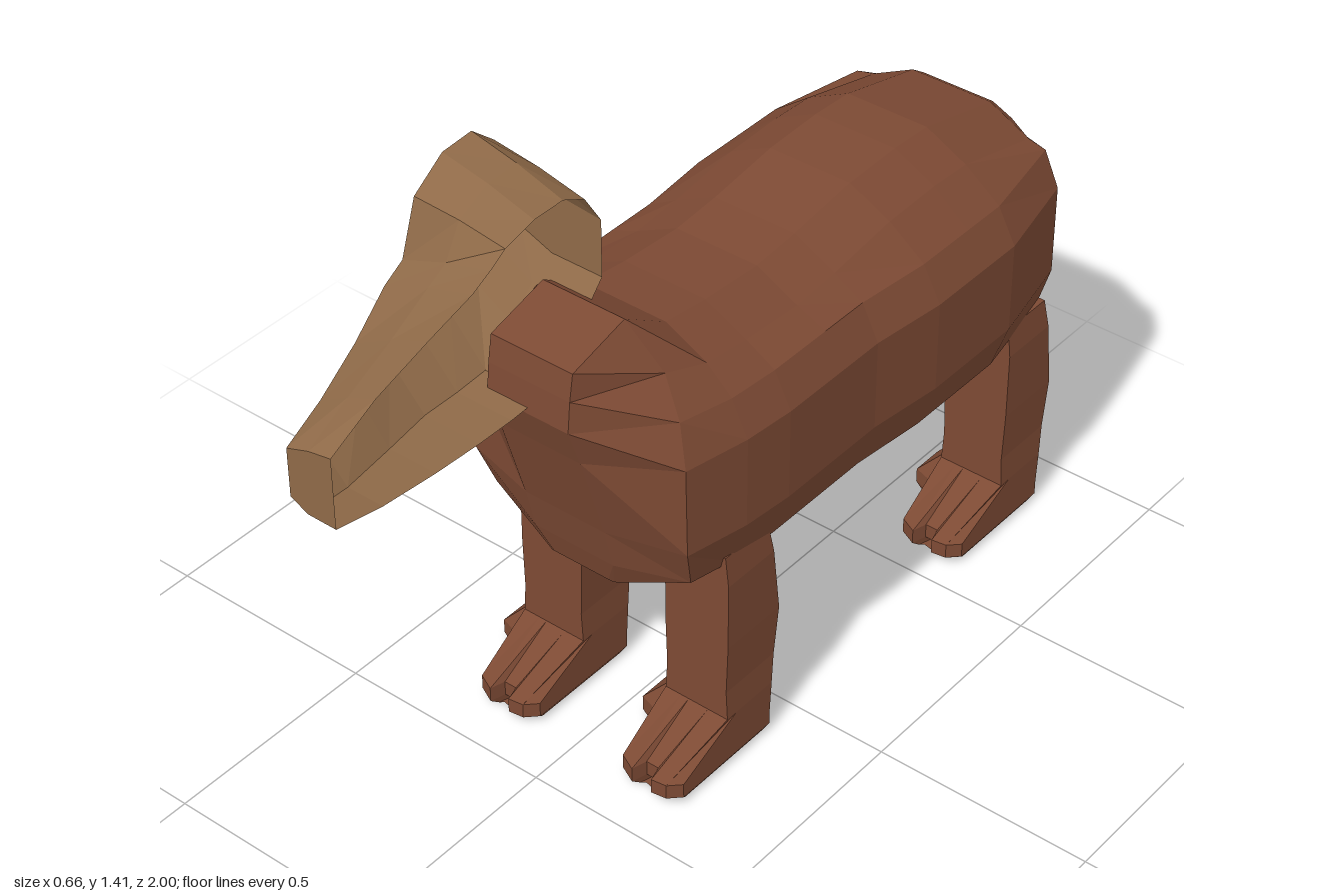
import * as THREE from 'three';

const paint = (color) => new THREE.MeshStandardMaterial({ color, flatShading: true, side: THREE.DoubleSide });

// Skins a list of equal-length rings; optional ladder caps close both ends.
function loft(name, rings, material, { closed = true, capFirst = true, capLast = true } = {}) {
  const n = rings[0].length;
  const index = [];
  const quad = (a, b, c, d) => index.push(a, b, c, a, c, d);
  for (let i = 0; i < rings.length - 1; i++) {
    for (let j = 0; j < (closed ? n : n - 1); j++) {
      const k = (j + 1) % n;
      quad(i * n + j, i * n + k, (i + 1) * n + k, (i + 1) * n + j);
    }
  }
  const last = (rings.length - 1) * n;
  for (let j = 0; j < n / 2 - 1; j++) {
    if (capFirst) quad(j, n - 1 - j, n - 2 - j, j + 1);
    if (capLast) quad(last + j, last + j + 1, last + n - 2 - j, last + n - 1 - j);
  }
  const geometry = new THREE.BufferGeometry();
  geometry.setAttribute('position', new THREE.Float32BufferAttribute(rings.flat(2), 3));
  geometry.setIndex(index);
  const flat = geometry.toNonIndexed();
  flat.computeVertexNormals();
  const mesh = new THREE.Mesh(flat, material);
  mesh.name = name;
  return mesh;
}

const mirrored = (half) => [...half, ...half.map(([x, y, z]) => [-x, y, z]).reverse()];

// Barrel body with a short neck stump in front and a rounded rump
function makeBody(material) {
  const neck = [[0.1, 1.06, 0.47], [0.1, 1.0, 0.48], [0.1, 0.93, 0.487], [0.1, 0.84, 0.455],
    [0.1, 0.63, 0.39], [0.1, 0.53, 0.365], [0.07, 0.465, 0.345]];
  const chest = [[0.1, 1.1, 0.32], [0.18, 1.0, 0.3], [0.24, 0.93, 0.33], [0.27, 0.84, 0.35],
    [0.27, 0.63, 0.345], [0.25, 0.53, 0.31], [0.08, 0.46, 0.34]];
  // z, half width, top, bottom
  const trunk = [
    [0.2, 0.3, 1.025, 0.455], [0.08, 0.31, 1.01, 0.45], [-0.08, 0.31, 1.0, 0.445],
    [-0.2, 0.31, 1.01, 0.435], [-0.38, 0.33, 1.035, 0.365], [-0.53, 0.33, 1.04, 0.36],
    [-0.64, 0.33, 1.035, 0.375], [-0.87, 0.28, 0.98, 0.45],
  ].map(([z, w, t, b]) => [[0.1, t, z], [0.2, t - 0.05, z], [w * 0.87, 0.92, z], [w, 0.84, z],
    [w, 0.63, z], [w * 0.88, 0.52, z], [0.09, b, z]]);
  const rump = [[0.09, 0.965, -0.895], [0.12, 0.92, -0.925], [0.13, 0.87, -0.955], [0.13, 0.84, -0.97],
    [0.13, 0.64, -0.97], [0.11, 0.53, -0.92], [0.06, 0.46, -0.88]];
  const tail = [[0, 0.96, -0.9], [0, 0.92, -0.935], [0, 0.87, -0.975], [0, 0.84, -1],
    [0, 0.64, -1], [0, 0.53, -0.935], [0, 0.465, -0.885]];
  return loft('body', [neck, chest, ...trunk, rump, tail].map(mirrored), material, { capLast: false });
}

// Hollow half head, open along the middle plane
function makeHead(material) {
  // z, half width, middle top, outer top, outer bottom, underside
  const sections = [
    [1.0, 0.11, 1.14, 1.11, 1.0, 0.98], [0.88, 0.14, 1.2, 1.13, 1.01, 0.957],
    [0.74, 0.185, 1.245, 1.155, 1.03, 0.945], [0.62, 0.22, 1.28, 1.2, 1.03, 0.94],
    [0.57, 0.22, 1.305, 1.23, 1.03, 0.94], [0.53, 0.22, 1.33, 1.35, 1.03, 0.94],
    [0.45, 0.22, 1.35, 1.405, 1.04, 0.945], [0.37, 0.22, 1.35, 1.41, 1.06, 1.01],
    [0.31, 0.22, 1.32, 1.36, 1.12, 1.07], [0.265, 0.2, 1.25, 1.26, 1.15, 1.12],
  ];
  const rings = sections.map(([z, w, t, o, s, b]) => [[0, b, z], [-w * 0.62, b, z], [-w, s, z],
    [-w, o, z], [-w * 0.5, (t + o) / 2 + 0.005, z], [0, t, z]]);
  return loft('head', rings, material, { closed: false });
}

// Leg running down into a toed foot with one toe sticking out sideways
function makeLeg(name, material) {
  const foot = [[0.08, 0.09], [0.08, 0.37], [0.055, 0.395], [0.02, 0.4], [0.01, 0.365], [-0.02, 0.365],
    [-0.03, 0.4], [-0.07, 0.38], [-0.09, 0.24], [-0.15, 0.22], [-0.15, 0.14], [-0.08, 0.1]];
  const shin = [[0.08, 0.085], [0.08, 0.2], [0.08, 0.23], [0.03, 0.23], [0.01, 0.23], [-0.02, 0.23],
    [-0.04, 0.23], [-0.08, 0.23], [-0.08, 0.2], [-0.08, 0.17], [-0.08, 0.13], [-0.08, 0.085]];
  // y, x scale, shift of the rear edge
  const shinRings = [[0.55, 0.9, 0.01], [0.48, 1, 0], [0.32, 1, -0.02], [0.2, 0.95, -0.01], [0.13, 1, 0]]
    .map(([y, s, back]) => shin.map(([x, z]) => [x * s, y, z < 0.1 ? z + back : z]));
  const footRings = [[0.055, 1], [0.02, 1], [0.003, 0.88]]
    .map(([y, s]) => foot.map(([x, z]) => [x * s, y, 0.22 + (z - 0.22) * s]));
  return loft(name, [...shinRings, ...footRings], material);
}

export function createModel() {
  const model = new THREE.Group();
  model.name = 'animal';
  const hide = paint(0x7d4a34);
  model.add(makeBody(hide), makeHead(paint(0x8f6a48)));

  // Four identical legs
  for (const [side, x] of [['Left', 0.2], ['Right', -0.18]]) {
    for (const [end, z] of [['front', 0], ['back', -0.96]]) {
      const leg = makeLeg(`${end}${side}Leg`, hide);
      leg.position.set(x, 0, z);
      model.add(leg);
    }
  }
  return model;
}
